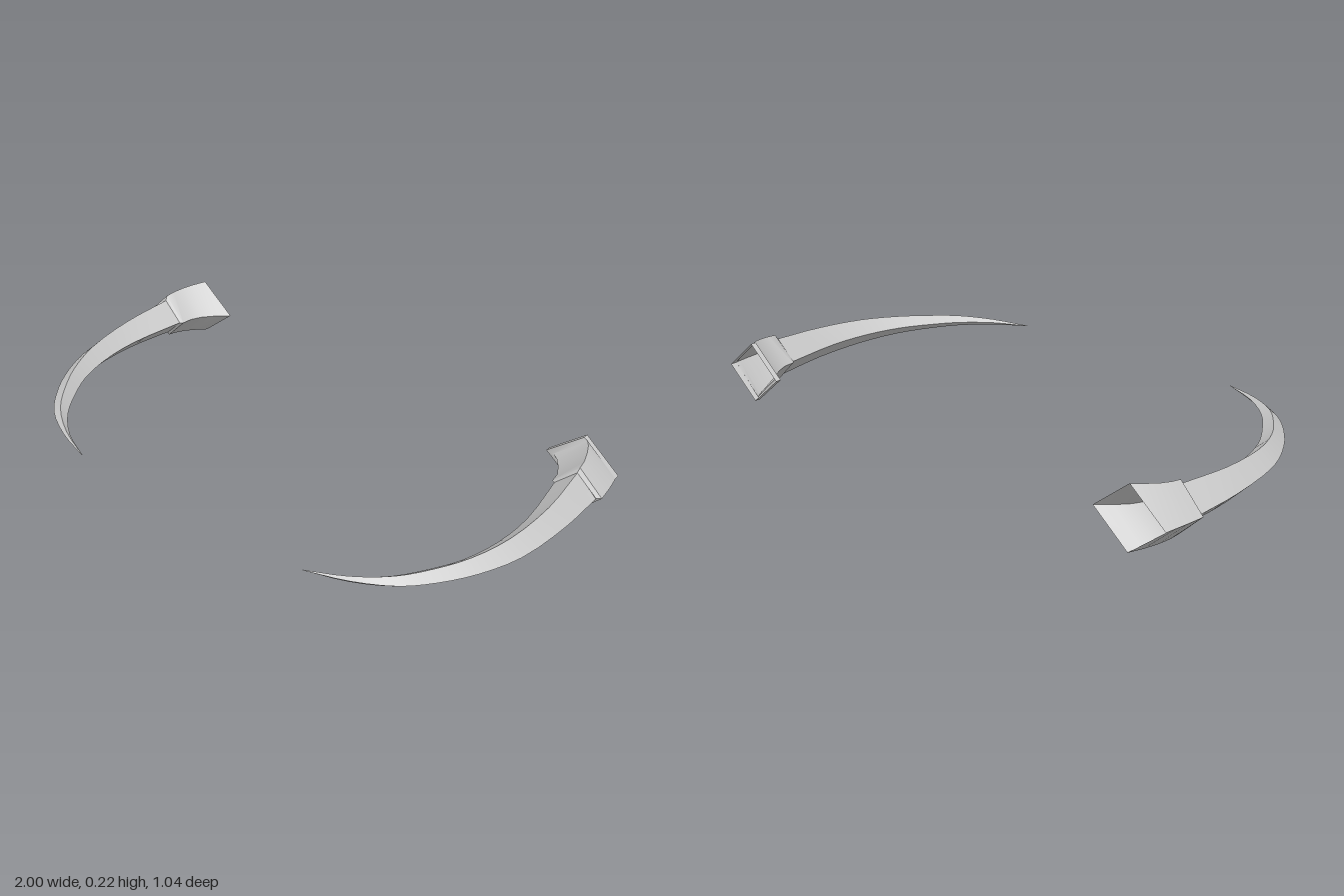
import * as THREE from 'three';
import { toCreasedNormals } from 'three/addons/utils/BufferGeometryUtils.js';

const MID_Y = 0.108;

// Section: [inner x, inner z, outer x, outer z, half height], listed back to front
const HORN = [
  [0.835, -0.36, 0.985, -0.36, 0.071],
  [0.868, -0.13, 0.985, -0.18, 0.058],
  [0.86, 0.03, 0.957, 0.05, 0.046],
  [0.825, 0.165, 0.897, 0.20, 0.035],
  [0.77, 0.27, 0.825, 0.31, 0.027],
  [0.70, 0.37, 0.745, 0.395, 0.020],
  [0.60, 0.455, 0.62, 0.467, 0.011],
  [0.475, 0.515, 0.478, 0.517, 0.001],
];

const MOUTH = [
  [0.80, -0.44, 0.992, -0.44, 0.096],
  [0.82, -0.40, 0.997, -0.40, 0.091],
  [0.825, -0.36, 1.0, -0.373, 0.087],
  [0.835, -0.352, 0.985, -0.362, 0.071],
];
const FLARED_SOCKET = [
  [0.72, -0.52, 0.98, -0.52, 0.108],
  [0.765, -0.48, 0.986, -0.48, 0.102],
  ...MOUTH,
];
const LIPPED_SOCKET = [
  [0.72, -0.52, 0.98, -0.52, 0.108],
  [0.72, -0.50, 0.981, -0.50, 0.108],
  [0.75, -0.495, 0.982, -0.495, 0.103],
  [0.775, -0.475, 0.986, -0.475, 0.101],
  ...MOUTH,
];

// Smoothly resample sections along the length
function refine(sections, count) {
  const inner = new THREE.CatmullRomCurve3(sections.map(s => new THREE.Vector3(s[0], s[4], s[1])));
  const outer = new THREE.CatmullRomCurve3(sections.map(s => new THREE.Vector3(s[2], s[4], s[3])));
  return Array.from({ length: count + 1 }, (_, i) => {
    const a = inner.getPoint(i / count), b = outer.getPoint(i / count);
    return [a.x, a.z, b.x, b.z, Math.max(a.y, 0.001)];
  });
}

// Skin diamond-shaped sections, with sharp ridges and smooth lengthwise shading
function loftDiamonds(sections, capBack) {
  const pos = [], index = [];
  for (const [xi, zi, xo, zo, h] of sections) {
    const x = (xi + xo) / 2, z = (zi + zo) / 2;
    pos.push(xo, MID_Y, zo, x, MID_Y + h, z, xi, MID_Y, zi, x, MID_Y - h, z);
  }
  for (let i = 0; i < sections.length - 1; i++) {
    for (let j = 0; j < 4; j++) {
      const a = i * 4 + j, b = i * 4 + (j + 1) % 4;
      index.push(a, b, b + 4, a, b + 4, a + 4);
    }
  }
  if (capBack) index.push(0, 2, 1, 0, 3, 2);
  const geo = new THREE.BufferGeometry();
  geo.setAttribute('position', new THREE.Float32BufferAttribute(pos, 3));
  geo.setIndex(index);
  return toCreasedNormals(geo, 0.6);
}

export function createModel() {
  const model = new THREE.Group();
  const material = new THREE.MeshStandardMaterial({ color: 0xcccccc, side: THREE.DoubleSide });
  const hornGeo = loftDiamonds(refine(HORN, 21), true);

  for (const [name, side, socketSections] of [
    ['left', 1, LIPPED_SOCKET],
    ['right', -1, FLARED_SOCKET],
  ]) {
    const tusk = new THREE.Group();
    tusk.name = name + 'Tusk';
    tusk.scale.x = side;

    // Curved blade tapering to a point
    const horn = new THREE.Mesh(hornGeo, material);
    horn.name = name + 'Horn';

    // Hollow flared sleeve, open at the back
    const socket = new THREE.Mesh(loftDiamonds(socketSections, false), material);
    socket.name = name + 'Socket';

    tusk.add(horn, socket);
    model.add(tusk);
  }
  return model;
}
